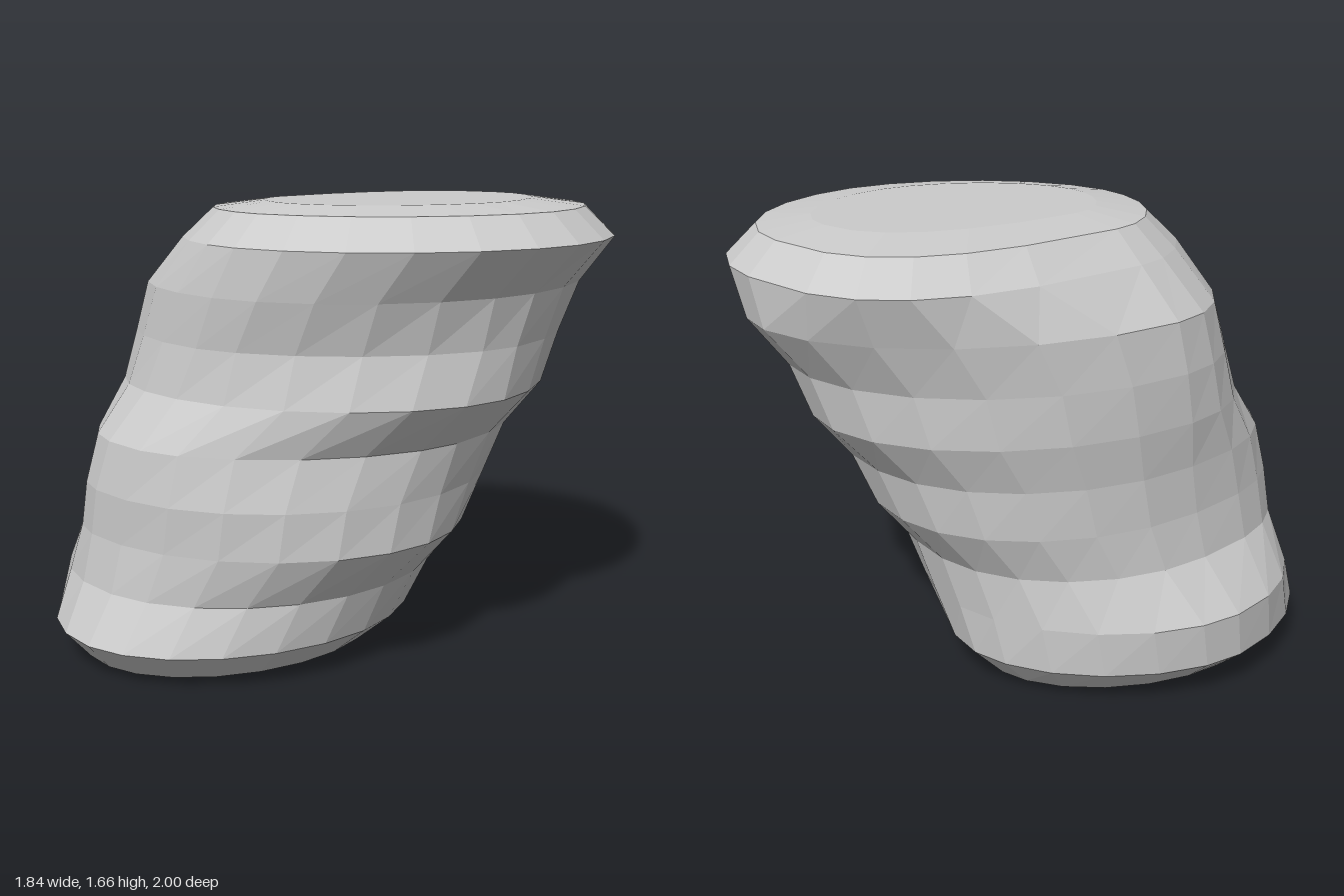
import * as THREE from 'three';

const SIDES = 24;

// Cross-sections from bottom to top: y, left x, right x, back z, front z,
// then corner roundness (smaller is fuller): front right, back right, front left, back left
const LEVELS = [
  [0.0, -0.62, 0.02, -0.18, 0.74, 1.05, 1.06, 1.0, 1.15],
  [0.025, -0.8, 0.21, -0.35, 0.91, 1.05, 1.06, 1.0, 1.15],
  [0.13, -0.92, 0.33, -0.45, 1.0, 1.05, 1.04, 1.0, 1.15],
  [0.3, -0.92, 0.38, -0.47, 0.9, 1.05, 0.92, 0.92, 1.12],
  [0.48, -0.77, 0.54, -0.5, 0.87, 1.05, 1.0, 0.76, 1.0],
  [0.65, -0.74, 0.55, -0.63, 0.87, 1.05, 0.96, 0.76, 1.0],
  [0.83, -0.73, 0.58, -0.68, 0.84, 1.17, 0.88, 0.8, 1.0],
  [1.0, -0.74, 0.74, -0.82, 0.72, 1.05, 1.08, 0.9, 1.05],
  [1.18, -0.73, 0.75, -0.86, 0.69, 1.17, 1.0, 0.95, 1.05],
  [1.36, -0.7, 0.78, -0.99, 0.69, 1.05, 1.03, 1.0, 1.05],
  [1.53, -0.54, 0.92, -1.0, 0.67, 1.05, 1.05, 1.1, 0.65],
  [1.635, -0.42, 0.81, -0.89, 0.56, 1.08, 1.05, 1.1, 0.65],
  [1.66, -0.22, 0.6, -0.7, 0.38, 1.08, 1.05, 1.1, 0.8],
];

const lerp = THREE.MathUtils.lerp;

// One ring made of four quarter curves meeting at the extreme points of each side
function ring([y, xl, xr, zb, zf, eFrontRight, eBackRight, eFrontLeft, eBackLeft]) {
  const k = Math.min(y / 1.53, 1);
  const frontX = lerp(-0.3, 0.13, k * k);
  const backX = lerp(-0.32, 0.2, k);
  const rightZ = lerp(0.28, -0.17, k);
  const leftZ = lerp(0.28, 0.08, k);
  const points = [];
  for (let j = 0; j < SIDES; j++) {
    const t = (j / SIDES) * Math.PI * 2;
    const c = Math.cos(t), s = Math.sin(t);
    const right = c >= 0, front = s >= 0;
    const e = front ? (right ? eFrontRight : eFrontLeft) : (right ? eBackRight : eBackLeft);
    const cx = front ? frontX : backX;
    const cz = right ? rightZ : leftZ;
    points.push(new THREE.Vector3(
      cx + ((right ? xr : xl) - cx) * Math.abs(c) ** e,
      y,
      cz + ((front ? zf : zb) - cz) * Math.abs(s) ** e,
    ));
  }
  return points;
}

const centre = (points) =>
  points.reduce((sum, p) => sum.add(p), new THREE.Vector3()).divideScalar(points.length);

function rockGeometry() {
  const rings = LEVELS.map(ring);
  const top = rings.length - 1;
  const vertices = [...rings.flat(), centre(rings[0]), centre(rings[top])];
  const bottomCentre = rings.length * SIDES;
  const index = [];
  for (let j = 0; j < SIDES; j++) {
    const n = (j + 1) % SIDES;
    // side facets
    for (let i = 0; i < top; i++) {
      const a = i * SIDES + j, b = i * SIDES + n;
      index.push(a, a + SIDES, b, b, a + SIDES, b + SIDES);
    }
    // flat base and flat top
    index.push(bottomCentre, j, n);
    index.push(bottomCentre + 1, top * SIDES + n, top * SIDES + j);
  }
  const geometry = new THREE.BufferGeometry().setFromPoints(vertices);
  geometry.setIndex(index);
  geometry.computeVertexNormals();
  return geometry;
}

export function createModel() {
  const group = new THREE.Group();
  group.name = 'leaningRock';
  const material = new THREE.MeshStandardMaterial({ color: 0xcccccc, flatShading: true });
  const rock = new THREE.Mesh(rockGeometry(), material);
  rock.name = 'rock';
  group.add(rock);
  return group;
}
